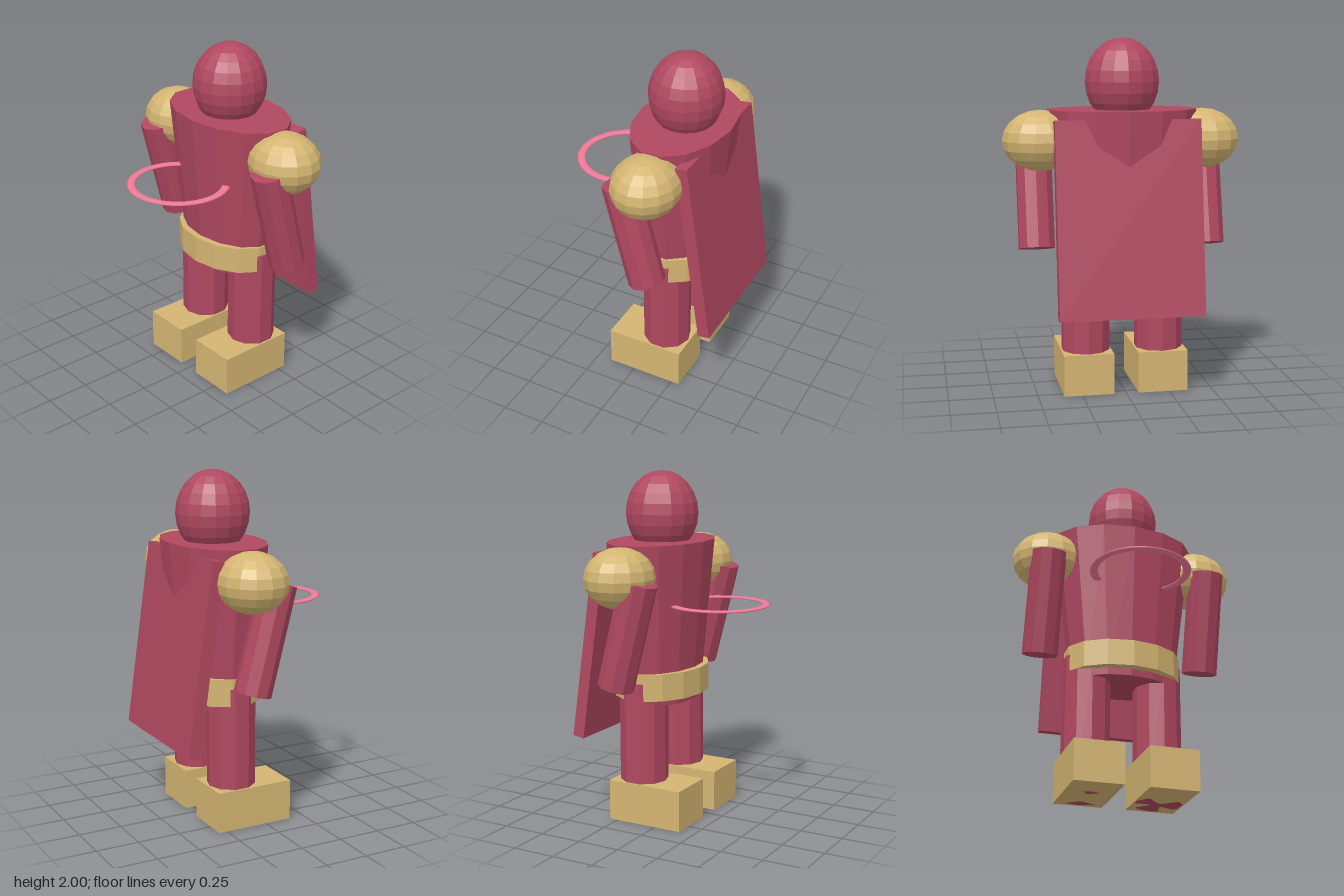
import * as THREE from 'three';

export function createModel() {
  const model = new THREE.Group();
  const mat = (color) => new THREE.MeshStandardMaterial({ color, flatShading: true });
  const crimson = mat(0xb04860), gold = mat(0xd4b572), pink = mat(0xf07a98);
  const Z = -0.15; // body axis

  const add = (name, geometry, material, x, y, z, tilt = 0) => {
    const mesh = new THREE.Mesh(geometry, material);
    mesh.name = name;
    mesh.position.set(x, y, z);
    mesh.rotation.x = tilt;
    model.add(mesh);
    return mesh;
  };

  // Oval cylinder with separate radii at the top and bottom
  const oval = (top, bottom, h, rx, rz) =>
    new THREE.CylinderGeometry(top, bottom, h, 14).scale(rx, 1, rz);

  // Head and trunk
  add('head', new THREE.SphereGeometry(1, 16, 12).scale(0.21, 0.24, 0.21), crimson, 0, 1.76, Z);
  add('torso', oval(1, 0.725, 0.925, 0.424, 0.27), crimson, 0, 1.1425, Z);
  add('belt', oval(1, 1, 0.155, 0.343, 0.25), gold, 0, 0.7975, Z);

  // Leaning cape slab
  add('cape', new THREE.BoxGeometry(0.81, 1.085, 0.07), crimson, 0, 1.018, -0.402, 0.143);

  // Flat ring around the front of the chest
  const ring = new THREE.TorusGeometry(0.267, 0.025, 8, 48).rotateX(Math.PI / 2).scale(1, 0.3, 1);
  const ringMaterial = pink.clone();
  ringMaterial.flatShading = false;
  add('chestRing', ring, ringMaterial, 0, 1.257, 0.22);

  // Paired limbs
  for (const [side, s] of [['left', 1], ['right', -1]]) {
    add(side + 'Shoulder', new THREE.SphereGeometry(1, 14, 10).scale(0.213, 0.17, 0.193), gold, s * 0.46, 1.435, Z);
    add(side + 'Arm', new THREE.CylinderGeometry(0.104, 0.104, 0.615, 10), crimson, s * 0.4875, 1.1275, -0.0875, 0.255);
    add(side + 'Leg', new THREE.CylinderGeometry(0.139, 0.139, 0.82, 10), crimson, s * 0.212, 0.41, Z);
    add(side + 'Foot', new THREE.BoxGeometry(0.285, 0.235, 0.46), gold, s * 0.2125, 0.1175, -0.07);
  }
  return model;
}
